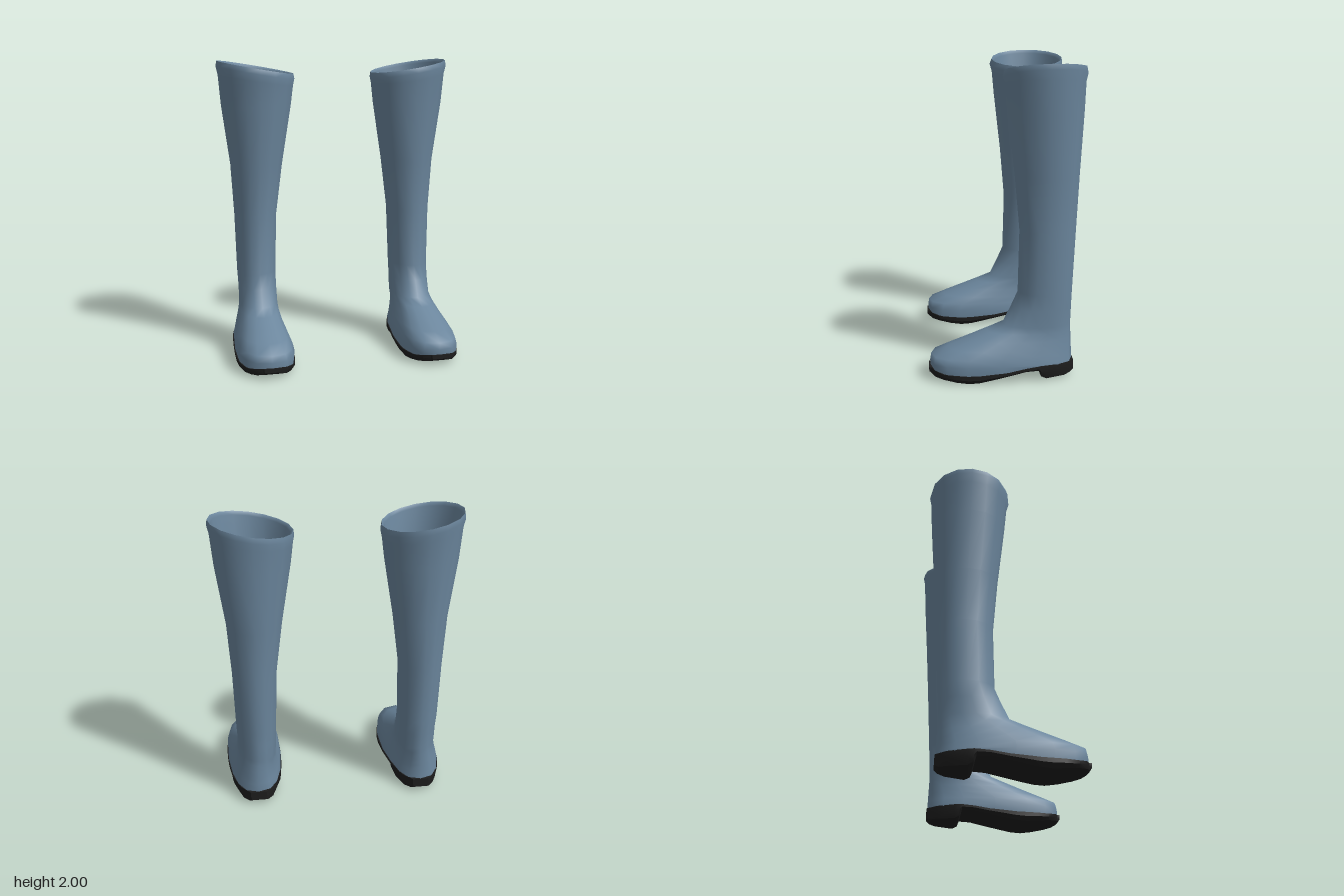
import * as THREE from 'three';
import { toCreasedNormals } from 'three/addons/utils/BufferGeometryUtils.js';

const SIDES = 16;
const spow = (v, p) => Math.sign(v) * Math.pow(Math.abs(v), p);

// Height of the seam between upper and sole, as [z, y]
const SEAM = [[-0.43, 0.095], [-0.2, 0.1], [-0.1, 0.088], [0, 0.07], [0.2, 0.052], [0.4, 0.055], [0.5, 0.075]];
function seamY(z) {
  for (let i = 1; i < SEAM.length; i++) {
    const [z0, y0] = SEAM[i - 1], [z1, y1] = SEAM[i];
    if (z <= z1) return y0 + (y1 - y0) * (z - z0) / (z1 - z0);
  }
  return SEAM[SEAM.length - 1][1];
}

// Footprint: half width of the foot at a given z
const FOOT = { mid: 0.035, half: 0.455, width: 0.185, power: 0.75, taper: 0.1, cx: 0.563 };
function footHalfWidth(z) {
  const u = Math.max(-1, Math.min(1, (z - FOOT.mid) / FOOT.half));
  const c = Math.pow(Math.abs(u), 1 / FOOT.power);
  const w = FOOT.width * Math.pow(1 - c * c, FOOT.power / 2) * (1 + FOOT.taper * u);
  return Math.max(0.05, w);
}

// Level ring through front and back z; y is a number or a function of z
function ring(y, front, back, cx, width, power = 1, taper = 0, tilt = 0) {
  const points = [];
  for (let i = 0; i < SIDES; i++) {
    const t = i / SIDES * Math.PI * 2;
    const c = spow(Math.cos(t), power), s = spow(Math.sin(t), power);
    const z = (front + back) / 2 + c * (front - back) / 2;
    const x = width * s * (1 + taper * c);
    const h = typeof y === 'function' ? y(z) : y + tilt * (x - 0.12 * c * width);
    points.push([cx + x, h, z]);
  }
  return points;
}

// Skin a list of equal closed loops; side = -1 mirrors in x
function loft(loops, side, capStart, capEnd) {
  const n = loops[0].length, pos = [], index = [];
  const tri = (a, b, c) => (side > 0 ? index.push(a, b, c) : index.push(a, c, b));
  loops.forEach(loop => loop.forEach(([x, y, z]) => pos.push(x * side, y, z)));
  for (let k = 0; k < loops.length - 1; k++) {
    for (let i = 0; i < n; i++) {
      const a = k * n + i, b = k * n + (i + 1) % n;
      tri(a, b, a + n);
      tri(b, b + n, a + n);
    }
  }
  const last = (loops.length - 1) * n;
  for (let i = 1; i < n - 1; i++) {
    if (capStart) tri(0, i + 1, i);
    if (capEnd) tri(last, last + i, last + i + 1);
  }
  const geo = new THREE.BufferGeometry();
  geo.setAttribute('position', new THREE.Float32BufferAttribute(pos, 3));
  geo.setIndex(index);
  geo.computeVertexNormals();
  return geo;
}

function makeBoot(side, leather, rubber) {
  const boot = new THREE.Group();
  boot.name = side > 0 ? 'leftBoot' : 'rightBoot';
  const add = (name, geo, mat) => {
    const mesh = new THREE.Mesh(geo, mat);
    mesh.name = name;
    boot.add(mesh);
  };

  // Upper: foot, ankle, shaft and rolled rim
  const outer = [
    ring(seamY, 0.49, -0.42, FOOT.cx, FOOT.width, 0.75, 0.1),
    ring(0.11, 0.493, -0.42, 0.563, 0.187, 0.75, 0.1),
    ring(0.155, 0.485, -0.418, 0.563, 0.177, 0.78, 0.1),
    ring(0.2, 0.38, -0.416, 0.562, 0.163, 0.82, 0.08),
    ring(0.25, 0.255, -0.414, 0.56, 0.145, 0.85, 0.04),
    ring(0.3, 0.13, -0.412, 0.556, 0.133, 0.9),
    ring(0.34, 0.03, -0.412, 0.553, 0.132, 0.95),
    ring(0.45, -0.025, -0.416, 0.553, 0.132),
    ring(0.55, -0.07, -0.42, 0.554, 0.135),
    ring(0.95, -0.08, -0.44, 0.552, 0.147),
    ring(1.3, -0.05, -0.46, 0.54, 0.18),
    ring(1.7, -0.005, -0.485, 0.535, 0.24),
    ring(1.87, 0.01, -0.492, 0.536, 0.257, 1, 0, 0.15),
    ring(1.92, 0.025, -0.503, 0.538, 0.268, 1, 0, 0.17),
    ring(1.955, 0.012, -0.496, 0.538, 0.262, 1, 0, 0.17),
  ];
  add('upper', loft(outer, side), leather);

  // Lining: from the rim down inside the shaft
  const inner = [
    ring(1.955, 0.012, -0.496, 0.538, 0.262, 1, 0, 0.17),
    ring(1.935, -0.008, -0.475, 0.538, 0.243, 1, 0, 0.17),
    ring(1.7, -0.03, -0.46, 0.535, 0.215),
    ring(1.3, -0.075, -0.435, 0.54, 0.155),
    ring(0.95, -0.1, -0.415, 0.552, 0.122),
    ring(0.55, -0.1, -0.405, 0.555, 0.112),
    ring(0.13, -0.1, -0.4, 0.56, 0.11),
  ];
  add('lining', loft(inner, side), leather);

  // Insole at the bottom of the shaft
  const floor = [ring(0.12, -0.09, -0.41, 0.56, 0.115), ring(0.135, -0.09, -0.41, 0.56, 0.115)];
  add('insole', loft(floor, side, true, true), rubber);

  // Sole with raised arch and heel block, as [z, underside y]
  const stations = [
    [-0.425, 0.035], [-0.405, 0.02], [-0.36, 0.015], [-0.24, 0.012], [-0.205, 0.03], [-0.19, 0.068],
    [-0.11, 0.066], [0, 0.043], [0.1, 0.022], [0.18, 0.006], [0.25, 0], [0.33, 0.008],
    [0.41, 0.02], [0.46, 0.028], [0.485, 0.036], [0.5, 0.05],
  ];
  const sections = stations.map(([z, low]) => {
    const w = footHalfWidth(z) + 0.005, top = seamY(z) + 0.004, mid = low * 0.5 + top * 0.5;
    return [[0.88, low], [1, mid], [1, top], [-1, top], [-1, mid], [-0.88, low]]
      .map(([k, y]) => [FOOT.cx + k * w, y, z]);
  });
  add('sole', toCreasedNormals(loft(sections, side, true, true), 0.6), rubber);
  return boot;
}

export function createModel() {
  const leather = new THREE.MeshStandardMaterial({ color: 0x6b869d });
  leather.name = 'blueGreyLeather';
  const rubber = new THREE.MeshStandardMaterial({ color: 0x1e1e1e });
  rubber.name = 'blackRubber';
  const model = new THREE.Group();
  model.name = 'tallBoots';
  for (const side of [1, -1]) model.add(makeBoot(side, leather, rubber));
  return model;
}
